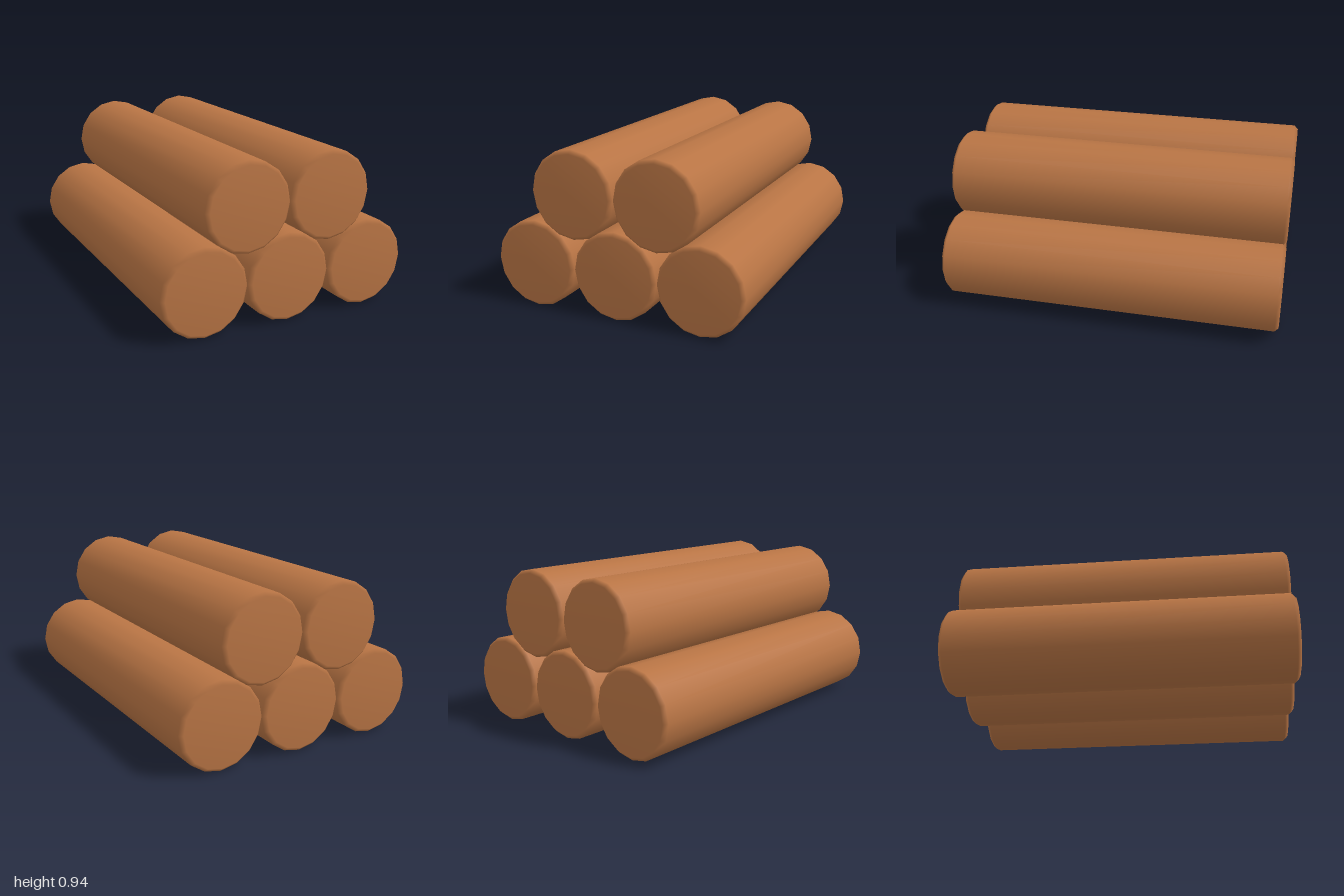
import * as THREE from 'three';

const RADIUS = 0.255;
const HALF = 1;
const BEVEL = 0.022;

export function createModel() {
  const group = new THREE.Group();
  group.name = 'logPile';

  const wood = new THREE.MeshStandardMaterial({ color: 0xb87444 });
  wood.name = 'brown wood';

  // One 16-sided log with softly bevelled ends, lying along z
  const profile = [
    [0, -HALF], [RADIUS - BEVEL, -HALF], [RADIUS, -HALF + BEVEL],
    [RADIUS, HALF - BEVEL], [RADIUS - BEVEL, HALF], [0, HALF],
  ].map(([r, y]) => new THREE.Vector2(r, y));
  const logGeometry = new THREE.LatheGeometry(profile, 16);
  logGeometry.rotateX(Math.PI / 2);

  // Three logs below, two resting in the gaps above
  const rows = [
    { name: 'bottomLog', count: 3, y: 0.257 },
    { name: 'topLog', count: 2, y: 0.688 },
  ];
  for (const { name, count, y } of rows) {
    for (let i = 0; i < count; i++) {
      const log = new THREE.Mesh(logGeometry, wood);
      log.name = name + (i + 1);
      log.position.set((i - (count - 1) / 2) * RADIUS * 2, y, 0);
      group.add(log);
    }
  }
  return group;
}
